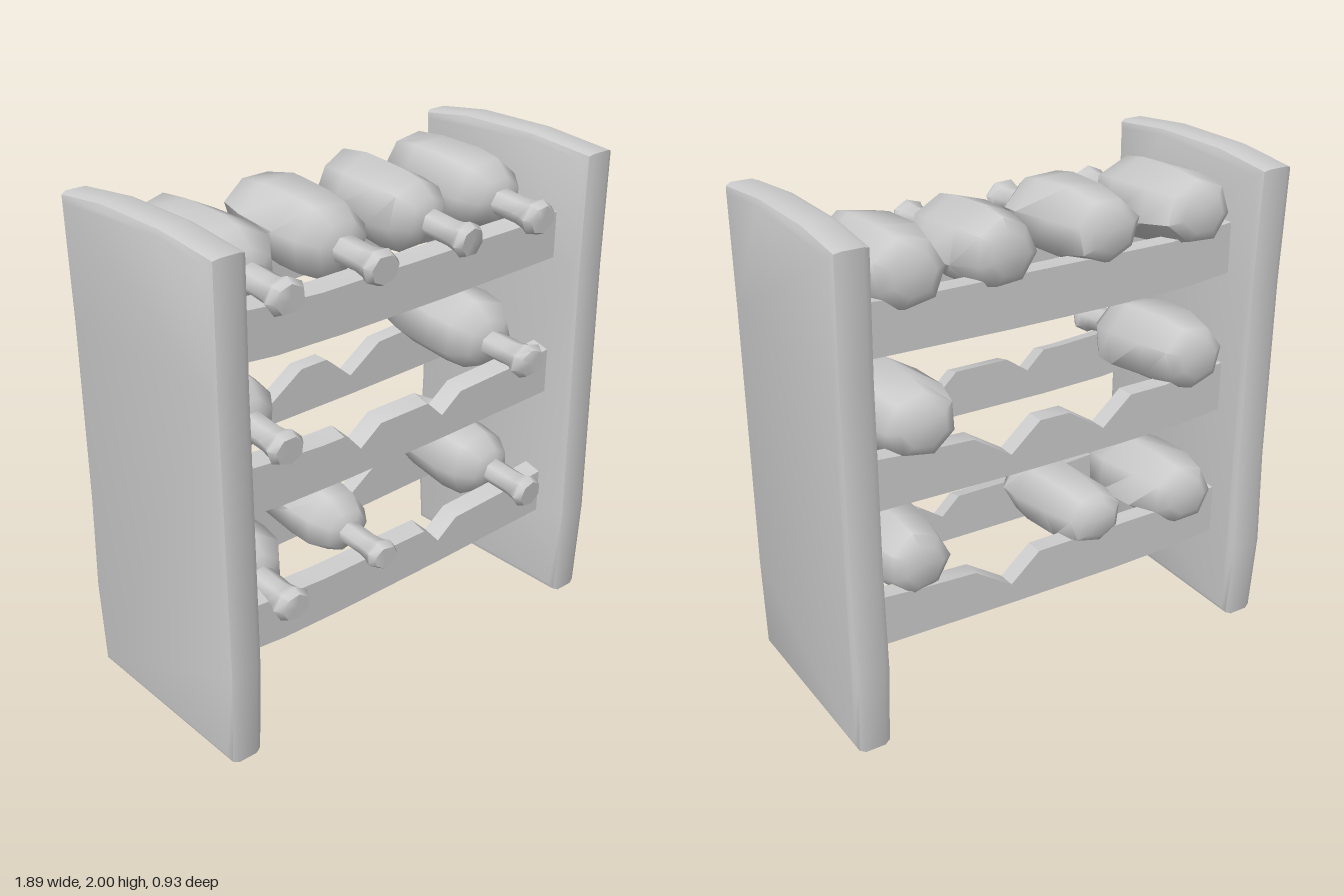
import * as THREE from 'three';
import { toCreasedNormals } from 'three/addons/utils/BufferGeometryUtils.js';

const material = new THREE.MeshStandardMaterial({ color: 0xcccccc });
const shapeOf = (pts) => new THREE.Shape(pts.map(([x, y]) => new THREE.Vector2(x, y)));

function addMesh(parent, name, geometry, crease = 0.6) {
  const mesh = new THREE.Mesh(toCreasedNormals(geometry, crease), material);
  mesh.name = name;
  parent.add(mesh);
  return mesh;
}

// Upright slab: slightly bowed outline in z/y, bevelled, extruded across x
function sidePanel(front, back) {
  const outline = shapeOf([
    [front - 0.02, 0], [back + 0.025, 0], [back, 0.35], [back + 0.015, 0.75], [back + 0.015, 1.5],
    [back, 1.97], [-0.2, 2], [0.15, 2], [front - 0.005, 1.97], [front - 0.01, 1.5], [front, 0.4],
  ].reverse());
  const bevel = 0.032;
  const depth = 0.145 - 2 * bevel;
  const geo = new THREE.ExtrudeGeometry(outline, {
    depth, bevelThickness: bevel, bevelSize: bevel, bevelOffset: -bevel, bevelSegments: 2,
  });
  geo.translate(0, 0, -depth / 2);
  geo.rotateY(-Math.PI / 2);
  return geo;
}

// Cross rail, notched only at the empty places; its top slopes down to the front
function rail(notches, halfNotch, depth, slope) {
  const pts = [
    [-0.82, -0.08], [-0.6, -0.1], [-0.3, -0.105], [0.2, -0.1], [0.82, -0.085], [0.82, 0.125], [0.6, 0.106],
  ];
  for (const x of [...notches].reverse()) {
    pts.push([x + halfNotch, 0.092], [x, 0.095 - depth], [x - halfNotch * 0.8, 0.095]);
  }
  pts.push([-0.2 - 2 * halfNotch, 0.095], [-0.6, 0.106], [-0.82, 0.125]);
  const geo = new THREE.ExtrudeGeometry(shapeOf(pts), { depth: 0.075, bevelEnabled: false });
  geo.translate(0, 0, -0.0375);
  const p = geo.attributes.position;
  for (let i = 0; i < p.count; i++) {
    if (p.getY(i) > -0.05 && p.getZ(i) > 0) p.setY(i, p.getY(i) - slope);
  }
  return geo;
}

// Low-sided bottle lying along z, neck towards +z, with a hand-carved wobble
const bottleProfile = [
  [0, -0.365], [0.09, -0.365], [0.135, -0.335], [0.17, -0.2], [0.178, 0.0], [0.165, 0.1],
  [0.11, 0.175], [0.06, 0.19], [0.058, 0.3], [0.065, 0.345], [0.08, 0.375], [0.062, 0.405], [0, 0.405],
].map(([r, y]) => new THREE.Vector2(r, y));

function bottle(spin, size) {
  const geo = new THREE.LatheGeometry(bottleProfile, 7, spin);
  geo.rotateX(Math.PI / 2);
  const p = geo.attributes.position;
  for (let i = 0; i < p.count; i++) {
    const x = p.getX(i), y = p.getY(i), z = p.getZ(i);
    const k = size * (1 + 0.05 * Math.sin(17 * x + 23 * y + 6 * z + spin * 5));
    p.setXYZ(i, x * k, y * k * 0.93, z + 0.12 * x * Math.sin(spin * 3));
  }
  return geo;
}

export function createModel() {
  const model = new THREE.Group();
  model.name = 'bottleRack';

  addMesh(model, 'leftPanel', sidePanel(0.46, -0.44)).position.x = 0.872;
  addMesh(model, 'rightPanel', sidePanel(0.445, -0.465)).position.x = -0.872;

  // Three tiers; bottles as [x, spin, size, z shift, lift]
  const tiers = [
    { y: 0.45, notches: [0.2], bottles: [[-0.61, 0.3, 0.97, 0.0, -0.045], [-0.17, 0.75, 0.84, 0.0, -0.02], [0.59, 1.2, 0.95, 0.05, 0]] },
    { y: 1.02, notches: [-0.22, 0.2], bottles: [[-0.6, 0.1, 0.97, -0.03, 0.015], [0.58, 0.6, 1.0, 0.02, 0.01]] },
    { y: 1.61, notches: [], bottles: [[-0.61, 0.4, 0.98, 0, 0], [-0.2, 0.9, 0.98, 0.01, 0], [0.24, 1.3, 0.95, 0, 0], [0.62, 0.2, 0.98, 0, 0]] },
  ];
  tiers.forEach(({ y, notches, bottles }, t) => {
    const tier = new THREE.Group();
    tier.name = `tier${t + 1}`;
    tier.position.y = y;
    model.add(tier);

    addMesh(tier, 'frontRail', rail(notches, 0.1, 0.075, 0.02)).position.z = 0.275;
    addMesh(tier, 'backRail', rail(notches, 0.16, 0.11, 0)).position.set(0, -0.005, -0.265);

    for (const [x, spin, size, z, lift] of bottles) {
      const mesh = addMesh(tier, 'bottle', bottle(spin, size), 1.05);
      mesh.position.set(x, 0.17 + lift, z);
      mesh.rotation.x = 0.09;
    }
  });
  return model;
}
